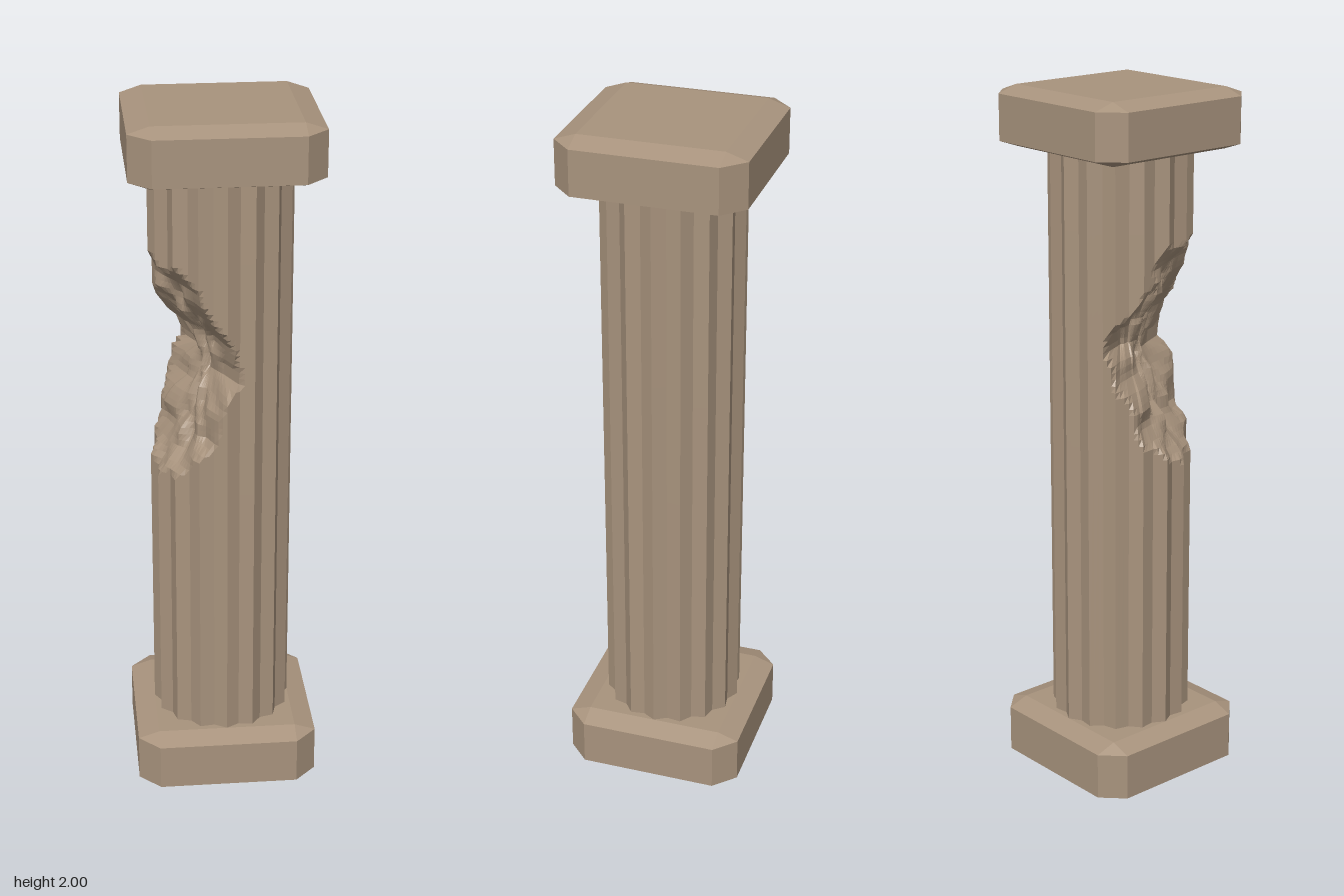
import * as THREE from 'three';
import { ConvexGeometry } from 'three/addons/geometries/ConvexGeometry.js';

const FLUTES = 16, R_OUT = 0.2, R_IN = 0.183, SPLIT = 3;
const BITE_ANGLE = THREE.MathUtils.degToRad(-64);
const BITE_X = Math.sin(BITE_ANGLE), BITE_Z = Math.cos(BITE_ANGLE);

// height, distance of the broken face from the axis
const BITE = [[0.93, 0.26], [0.97, 0.195], [1.03, 0.15], [1.08, 0.12], [1.17, 0.09], [1.25, 0.065],
  [1.3, 0.042], [1.37, 0.062], [1.42, 0.1], [1.5, 0.145], [1.59, 0.19], [1.64, 0.26]];

function hash(i, j) {
  const s = Math.sin(i * 127.1 + j * 311.7) * 43758.5453;
  return s - Math.floor(s);
}

// Faceted noise on a coarse lattice, from -1 to 1
function crag(u, v) {
  const i = Math.floor(u), j = Math.floor(v), f = u - i, g = v - j;
  const low = THREE.MathUtils.lerp(hash(i, j), hash(i + 1, j), f);
  const high = THREE.MathUtils.lerp(hash(i, j + 1), hash(i + 1, j + 1), f);
  return THREE.MathUtils.lerp(low, high, g) * 2 - 1;
}

function biteDistance(y) {
  for (let k = 1; k < BITE.length; k++) {
    const [y0, p0] = BITE[k - 1], [y1, p1] = BITE[k];
    if (y >= y0 && y <= y1) return THREE.MathUtils.lerp(p0, p1, (y - y0) / (y1 - y0));
  }
  return 1;
}

// Zigzag outline of the fluted shaft
function starOutline() {
  const corner = (k) => {
    const a = (k * Math.PI) / FLUTES, r = k % 2 ? R_IN : R_OUT;
    return new THREE.Vector2(Math.sin(a) * r, Math.cos(a) * r);
  };
  const points = [];
  for (let k = 0; k < FLUTES * 2; k++) {
    for (let s = 0; s < SPLIT; s++) points.push(corner(k).lerp(corner(k + 1), s / SPLIT));
  }
  return points;
}

// Shaft lofted through rings, cut back where the stone is broken away
function shaftGeometry() {
  const outline = starOutline(), n = outline.length;
  const heights = [0.165];
  for (let y = 0.93; y < 1.645; y += 0.0175) heights.push(y);
  heights.push(1.845);

  const positions = [], index = [];
  heights.forEach((y, row) => {
    for (const q of outline) {
      const depth = q.x * BITE_X + q.y * BITE_Z;
      const across = q.x * BITE_Z - q.y * BITE_X;
      const limit = biteDistance(y) + 0.022 * crag(across / 0.045, y / 0.045);
      const k = depth > limit ? limit / depth : 1;
      positions.push(q.x * k, y, q.y * k);
    }
    if (row === 0) return;
    for (let i = 0; i < n; i++) {
      const a = (row - 1) * n + i, b = (row - 1) * n + ((i + 1) % n);
      index.push(a, b, b + n, a, b + n, a + n);
    }
  });
  const geometry = new THREE.BufferGeometry();
  geometry.setAttribute('position', new THREE.Float32BufferAttribute(positions, 3));
  geometry.setIndex(index);
  const flat = geometry.toNonIndexed();
  flat.computeVertexNormals();
  return flat;
}

// Square slab with cut corners and shallow bevels above and below
function slabGeometry(height) {
  const wide = 0.26, narrow = 0.2, bevel = 0.02, points = [];
  for (const sx of [-1, 1]) for (const sz of [-1, 1]) {
    for (const y of [0, height]) points.push(new THREE.Vector3(sx * narrow, y, sz * narrow));
    for (const y of [bevel, height - bevel]) {
      points.push(new THREE.Vector3(sx * wide, y, sz * narrow));
      points.push(new THREE.Vector3(sx * narrow, y, sz * wide));
    }
  }
  return new ConvexGeometry(points);
}

export function createModel() {
  const group = new THREE.Group();
  group.name = 'brokenColumn';
  const stone = new THREE.MeshStandardMaterial({ color: 0xa8937d, flatShading: true });
  stone.name = 'stone';

  const add = (name, geometry, y = 0) => {
    const mesh = new THREE.Mesh(geometry, stone);
    mesh.name = name;
    mesh.position.y = y;
    group.add(mesh);
  };
  add('base', slabGeometry(0.175));
  add('flutedShaft', shaftGeometry());
  add('capital', slabGeometry(0.168), 1.832);
  return group;
}
